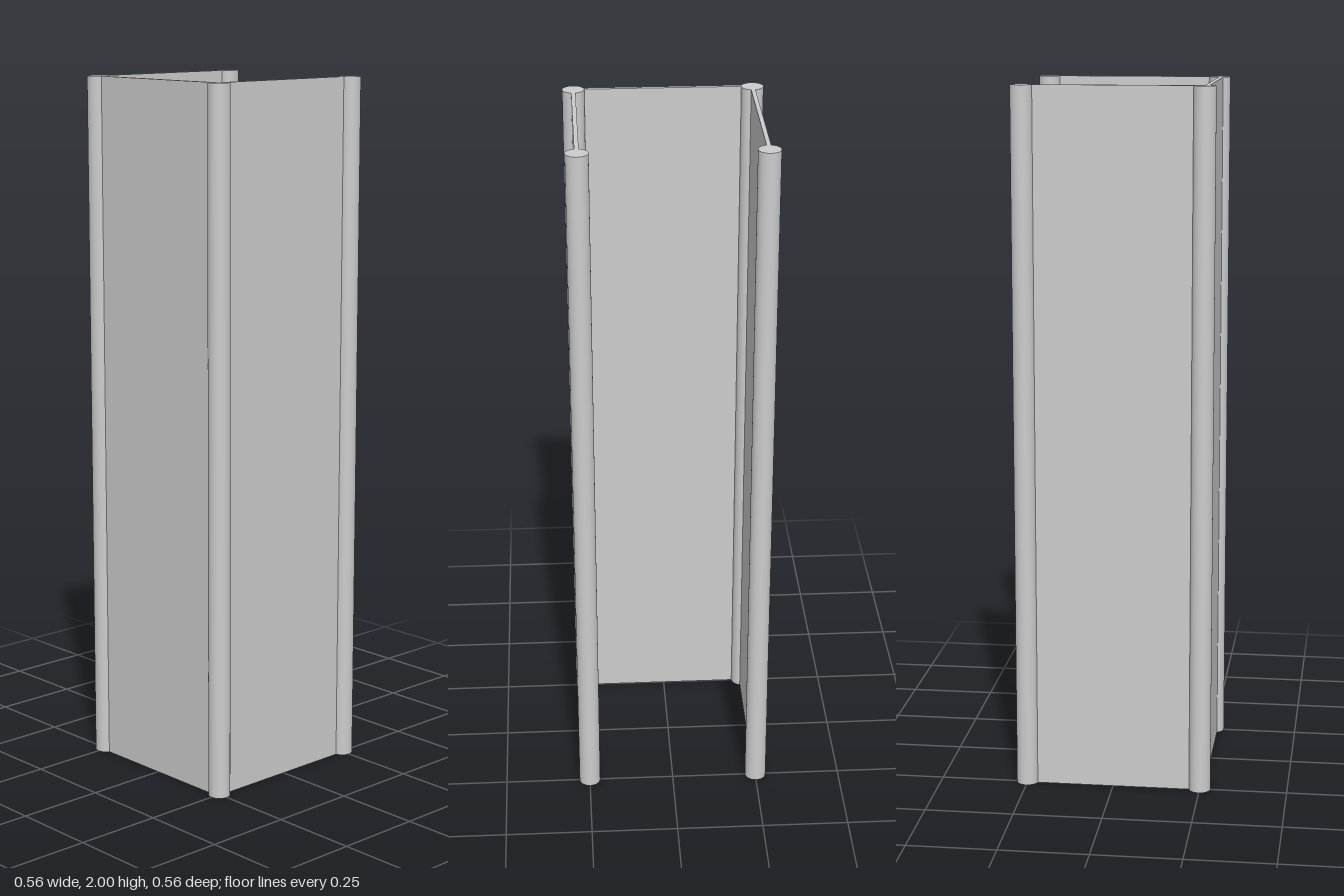
import * as THREE from 'three';

const HEIGHT = 2;
const HALF = 0.25; // post centres sit at +-HALF
const POST_RADIUS = 0.031;
const THICKNESS = 0.012;

export function createModel() {
  const group = new THREE.Group();
  const material = new THREE.MeshStandardMaterial({ color: 0xcccccc });

  const add = (name, geometry, x, z) => {
    const mesh = new THREE.Mesh(geometry, material);
    mesh.name = name;
    mesh.position.set(x, HEIGHT / 2, z);
    group.add(mesh);
  };

  // Four round corner posts
  const post = new THREE.CylinderGeometry(POST_RADIUS, POST_RADIUS, HEIGHT, 48);
  for (const [xName, x] of [['Left', HALF], ['Right', -HALF]]) {
    add(`front${xName}Post`, post, x, HALF);
    add(`back${xName}Post`, post, x, -HALF);
  }

  // Front and back panels, running between the posts
  const panel = new THREE.BoxGeometry(2 * HALF - POST_RADIUS, HEIGHT, THICKNESS);
  add('frontPanel', panel, 0, HALF);
  add('backPanel', panel, 0, -HALF);

  // Side panel, set slightly outward; the opposite side stays open
  const side = new THREE.BoxGeometry(THICKNESS, HEIGHT, 2 * HALF - POST_RADIUS);
  add('rightPanel', side, -HALF - THICKNESS / 2, 0);

  return group;
}
